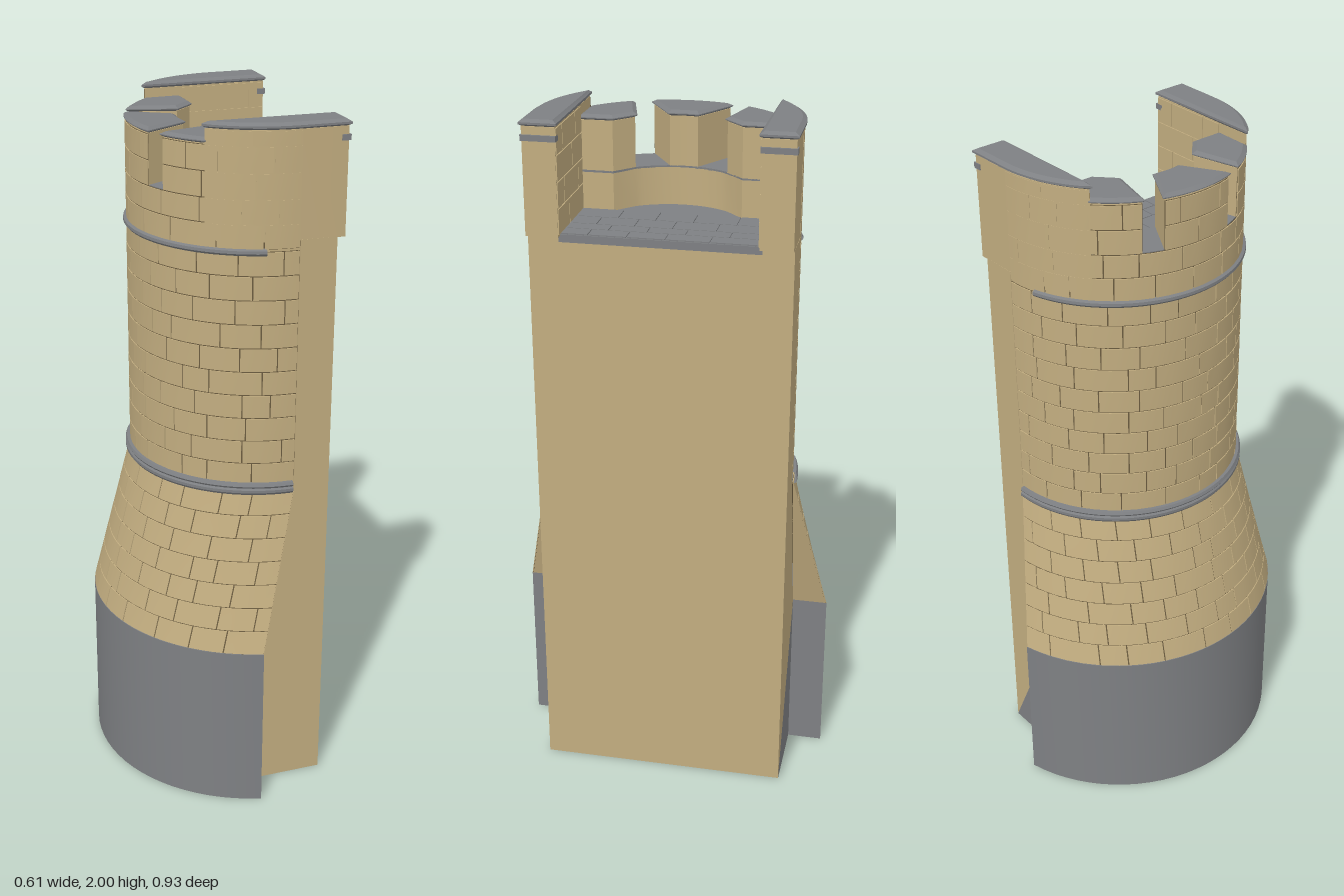
import * as THREE from 'three';
import { mergeGeometries, toCreasedNormals } from 'three/addons/utils/BufferGeometryUtils.js';

const CX = 0.17, R = 0.36; // axis and radius of the round side
const rad = THREE.MathUtils.degToRad, lerp = THREE.MathUtils.lerp;

const material = (color, side = THREE.FrontSide) => new THREE.MeshStandardMaterial({ color, side });
const stone = material(0xc2ad80);
const brickStone = material(0xc2ad80, THREE.DoubleSide);
const mortar = material(0x6b5c40, THREE.DoubleSide);
const grey = material(0x7e8083);
const greyThin = material(0x7e8083, THREE.DoubleSide);

let seed = 7;
const random = () => (seed = (seed * 16807) % 2147483647) / 2147483647;

// Plan point [x, z]: angle 0 points to -x, +90 degrees to +z
const polar = (r, deg) => [CX - r * Math.cos(rad(deg)), r * Math.sin(rad(deg))];
const arc = (r, a0, a1, n = 16) =>
  Array.from({ length: n + 1 }, (_, i) => polar(r, lerp(a0, a1, i / n)));
const mirrored = (plan) => plan.map(([x, z]) => [x, -z]);

export function createModel() {
  const model = new THREE.Group();

  const add = (name, geometry, mat) => {
    const mesh = new THREE.Mesh(geometry, mat);
    mesh.name = name;
    model.add(mesh);
    return mesh;
  };

  // Plan outline raised from y0 to y1, optionally with a chamfered top
  const raise = (name, plan, y0, y1, mat, bevel = 0) => {
    const shape = new THREE.Shape(plan.map(([x, z]) => new THREE.Vector2(x, -z)));
    const thick = bevel * 0.6;
    const g = new THREE.ExtrudeGeometry(shape, {
      depth: y1 - y0 - 2 * thick, bevelEnabled: bevel > 0,
      bevelSize: bevel, bevelThickness: thick, bevelOffset: -bevel * 0.5, bevelSegments: 1,
    });
    g.rotateX(-Math.PI / 2).translate(0, y0 + thick, 0);
    add(name, toCreasedNormals(g, 0.4), mat);
  };

  // Grid patch over a surface at(u, v, out); a rim sinks its border to make a block
  const patch = (at, u0, u1, v0, v1, n, rim) => {
    const pos = [], index = [];
    const us = Array.from({ length: n + 1 }, (_, i) => lerp(u0, u1, i / n));
    const vs = [v0, v1];
    if (rim) {
      us.unshift(u0); us.push(u1);
      vs.unshift(v0); vs.push(v1);
    }
    const w = us.length;
    vs.forEach((v, j) => us.forEach((u, i) => {
      const edge = rim && (i === 0 || j === 0 || i === w - 1 || j === vs.length - 1);
      pos.push(...at(u, v, rim && !edge ? 0 : -0.003));
      if (i && j) {
        const a = j * w + i, b = a - 1, c = a - w, d = c - 1;
        index.push(d, c, a, d, a, b);
      }
    }));
    const g = new THREE.BufferGeometry();
    g.setAttribute('position', new THREE.Float32BufferAttribute(pos, 3));
    g.setIndex(index);
    return toCreasedNormals(g, 0.4);
  };

  // Staggered block courses with recessed mortar; width and height are real sizes
  const masonry = (name, at, width, height, rows, perRow, segments = 3) => {
    const blocks = [], gu = 0.0018 / width, gv = 0.0018 / height;
    for (let r = 0; r < rows; r++) {
      const cuts = [0];
      for (let i = 0; i < perRow; i++) {
        const t = (i + (r % 2 ? 0.5 : 0.95) + (random() - 0.5) * 0.4) / perRow;
        if (t < 1 - 0.3 / perRow) cuts.push(t);
      }
      cuts.push(1);
      for (let i = 1; i < cuts.length; i++)
        blocks.push(patch(at, cuts[i - 1] + gu, cuts[i] - gu, r / rows + gv, (r + 1) / rows - gv, segments, true));
    }
    add(name + 'Blocks', mergeGeometries(blocks), brickStone);
    add(name + 'Mortar', patch(at, 0, 1, 0, 1, segments * perRow, false), mortar);
  };

  const roundMasonry = (name, a0, a1, y0, y1, rows) => {
    const width = rad(a1 - a0) * R;
    masonry(name, (u, v, out) => {
      const [x, z] = polar(R + out, lerp(a0, a1, u));
      return [x, lerp(y0, y1, v), z];
    }, width, y1 - y0, rows, Math.max(1, Math.round(width / 0.115)));
  };

  // Partial ring moulding around the round side
  const moulding = (name, profile, half) => {
    const g = new THREE.LatheGeometry(profile.map(([r, y]) => new THREE.Vector2(r, y)), 40,
      Math.PI * 1.5 - rad(half), rad(half) * 2);
    add(name, toCreasedNormals(g.translate(CX, 0, 0), 0.5), greyThin);
  };

  // Plain base drum
  const FOOT = 75.5, RF = 0.478;
  raise('baseDrum', [[0.05, -0.36], ...arc(RF, -FOOT, FOOT, 32), [0.05, 0.36]], 0, 0.5, grey);

  // Flat-backed body, following the slope of the batter
  const side = new THREE.Shape([[0.05, 0], [0.275, 0], [0.275, 1.688], [CX, 1.688], [CX, 0.96], [0.05, 0.5]]
    .map((p) => new THREE.Vector2(...p)));
  add('flatBody', new THREE.ExtrudeGeometry(side, { depth: 0.72, bevelEnabled: false }).translate(0, 0, -0.36), stone);
  const corner = new THREE.Shape([[0.05, 0], [0.05, 0.5], [0.275, 0]].map((p) => new THREE.Vector2(...p)));
  add('greyCorner', new THREE.ShapeGeometry(corner).translate(0, 0, -0.3605), greyThin);

  // Sloping batter between the drum and the shaft
  const batter = (u, v, out) => {
    const p = polar(RF + out, lerp(-FOOT, FOOT, u)), q = polar(0.363 + out, lerp(-90, 90, u));
    return [lerp(p[0], q[0], v), lerp(0.5, 0.96, v), lerp(p[1], q[1], v)];
  };
  masonry('batter', batter, 1.2, 0.48, 7, 11);
  for (const s of [-1, 1]) {
    const g = new THREE.BufferGeometry();
    g.setAttribute('position', new THREE.Float32BufferAttribute(
      [0.05, 0.5, 0.36 * s, 0.05, 0.5, 0.463 * s, CX, 0.96, 0.363 * s], 3));
    if (s > 0) g.setIndex([0, 2, 1]);
    else g.setIndex([0, 1, 2]);
    g.computeVertexNormals();
    add('batterEnd', g, brickStone);
  }

  // Round shaft
  raise('shaftCore', arc(0.355, -90, 90, 32), 0.9, 1.68, stone);
  roundMasonry('shaft', -90, 90, 0.98, 1.66, 10);
  moulding('lowerMoulding', [[0.35, 0.953], [0.368, 0.955], [0.373, 0.962], [0.373, 0.97],
    [0.369, 0.975], [0.373, 0.981], [0.369, 0.989], [0.35, 0.99]], 89);
  moulding('upperMoulding', [[0.35, 1.648], [0.364, 1.65], [0.369, 1.656], [0.368, 1.664], [0.35, 1.672]], 75.5);

  // Deck slab with paving
  raise('deck', [...arc(0.35, -50, 50), [0.277, 0.275], [0.277, -0.275]], 1.668, 1.69, grey);
  const columns = [0.04, 0.115, 0.18, 0.226, 0.275], tiles = [];
  for (let i = 0; i < 4; i++) {
    const cuts = [-0.27, ...[-0.18, -0.06, 0.045, 0.15].map((z) => z + (i % 2) * 0.045), 0.27];
    for (let j = 1; j < cuts.length; j++)
      tiles.push(new THREE.BoxGeometry(columns[i + 1] - columns[i] - 0.003, 0.004, cuts[j] - cuts[j - 1] - 0.003)
        .translate((columns[i] + columns[i + 1]) / 2, 1.691, (cuts[j] + cuts[j - 1]) / 2));
  }
  add('pavingSlabs', mergeGeometries(tiles), grey);

  // Parapet: low wall, merlons with splayed sides, and taller straight wings
  const WING = 48.6, RP = 0.356, RI = 0.225;
  const inner = [[0.04, 0.27], [0.04, 0.18], polar(RI, 35)];
  const lowWall = [...arc(RP, -WING, WING, 24), ...inner,
    ...arc(RI, 30, -30, 12), ...mirrored(inner).reverse()];
  raise('parapetWall', lowWall, 1.685, 1.797, stone);
  raise('parapetSill', lowWall, 1.796, 1.802, grey);

  const middle = [...arc(RP, -17.8, 17.8), ...arc(RI, 10.2, -10.2, 8)];
  const flank = [...arc(RP, 27.3, WING, 10), ...inner];
  const wing = [...arc(RP + 0.003, WING, 90, 16), [0.297, 0.36], [0.297, 0.27]];
  const merlon = (name, plan) => {
    raise(name, plan, 1.8, 1.942, stone);
    raise(name + 'Cap', plan, 1.94, 1.957, grey, 0.012);
  };
  merlon('middleMerlon', middle);
  for (const s of [1, -1]) {
    const sided = (plan) => (s > 0 ? plan : mirrored(plan));
    merlon('flankMerlon', sided(flank));
    raise('parapetWing', sided(wing), 1.686, 1.982, stone);
    raise('parapetWingCap', sided(wing), 1.98, 2, grey, 0.012);
    add('wingBand', new THREE.BoxGeometry(0.025, 0.016, 0.096).translate(0.29, 1.952, 0.315 * s), grey);
    masonry('wingInner', (u, v, out) => [lerp(0.04, 0.297, u), lerp(1.692, 1.98, v), s * (0.267 - out)],
      0.257, 0.288, 4, 2, 1);
    const span = (a, b) => (s > 0 ? [a, b] : [-b, -a]);
    roundMasonry('flankOuter', ...span(27.3, 90), 1.8, 1.94, 2);
    roundMasonry('wingOuter', ...span(WING, 90), 1.94, 1.98, 1);
  }
  roundMasonry('parapetOuter', -90, 90, 1.666, 1.8, 2);
  roundMasonry('middleOuter', -17.8, 17.8, 1.8, 1.94, 2);

  return model;
}
